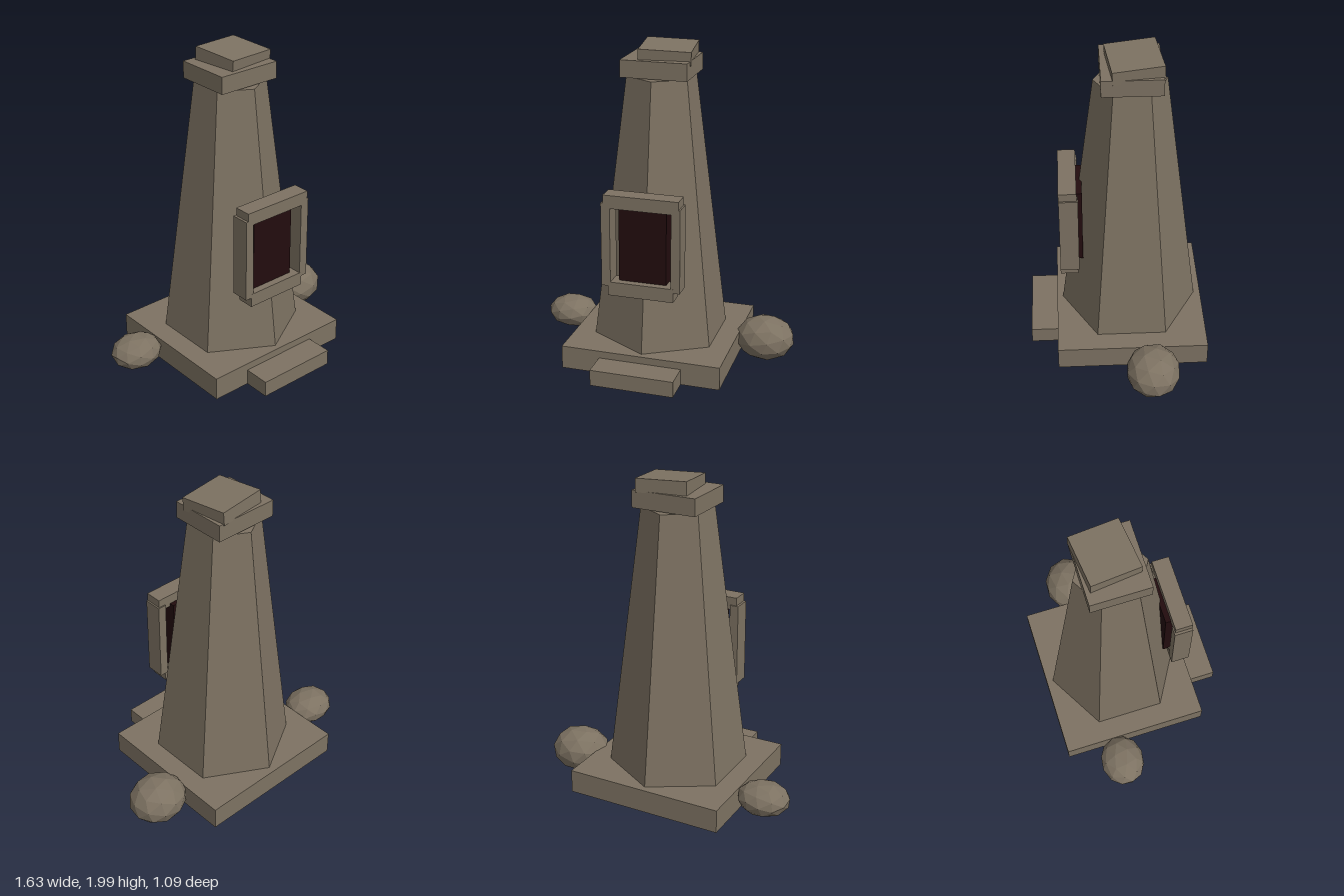
import * as THREE from 'three';

export function createModel() {
  const model = new THREE.Group();
  const stone = new THREE.MeshStandardMaterial({ color: 0x7d7262, flatShading: true });
  stone.name = 'weathered stone';
  const dark = new THREE.MeshStandardMaterial({ color: 0x220c0e, flatShading: true });
  dark.name = 'dark opening';

  const add = (name, geometry, material = stone) => {
    const mesh = new THREE.Mesh(geometry, material);
    mesh.name = name;
    model.add(mesh);
    return mesh;
  };

  // Box given by its limits on each axis
  const box = (name, [x0, x1], [y0, y1], [z0, z1], material) => {
    const mesh = add(name, new THREE.BoxGeometry(x1 - x0, y1 - y0, z1 - z0), material);
    mesh.position.set((x0 + x1) / 2, (y0 + y1) / 2, (z0 + z1) / 2);
    return mesh;
  };

  // Plinth and front step
  box('plinth', [-0.51, 0.48], [0.045, 0.19], [-0.545, 0.375]);
  box('frontStep', [-0.27, 0.243], [0.045, 0.145], [0.3, 0.54]);

  // Tapering six-sided tower, one corner to the front
  const tower = add('tower', new THREE.CylinderGeometry(0.213, 0.422, 1.62, 6));
  tower.position.set(-0.013, 1.0, -0.083);

  // Cap slab and the crooked block lying on it
  box('capSlab', [-0.215, 0.188], [1.815, 1.918], [-0.26, 0.09]);
  const block = add('crookedBlock', new THREE.BoxGeometry(0.31, 0.08, 0.295));
  block.position.set(0.024, 1.945, -0.102);
  block.rotation.set(0.06, 0.11, -0.035);

  // Opening with its frame
  box('opening', [-0.16, 0.13], [0.625, 1.12], [0.205, 0.3], dark);
  box('rightJamb', [-0.255, -0.2], [0.615, 1.13], [0.23, 0.344]);
  box('leftJamb', [0.17, 0.225], [0.615, 1.13], [0.23, 0.344]);
  box('lintel', [-0.24, 0.215], [1.1, 1.18], [0.238, 0.345]);
  box('sill', [-0.215, 0.185], [0.555, 0.64], [0.238, 0.345]);

  // Faceted boulders beside the plinth
  const boulder = (name, position, radii, turn) => {
    const geometry = new THREE.IcosahedronGeometry(1, 1);
    geometry.rotateX(turn).rotateY(turn * 1.7).scale(...radii);
    add(name, geometry).position.set(...position);
  };
  boulder('rightBoulder', [-0.66, 0.15, -0.222], [0.163, 0.101, 0.14], 0.4);
  boulder('leftBoulder', [0.633, 0.146, -0.197], [0.185, 0.14, 0.165], 0.7);

  // Rest the lowest boulder on the ground
  model.position.y = -new THREE.Box3().setFromObject(model, true).min.y;
  return model;
}
